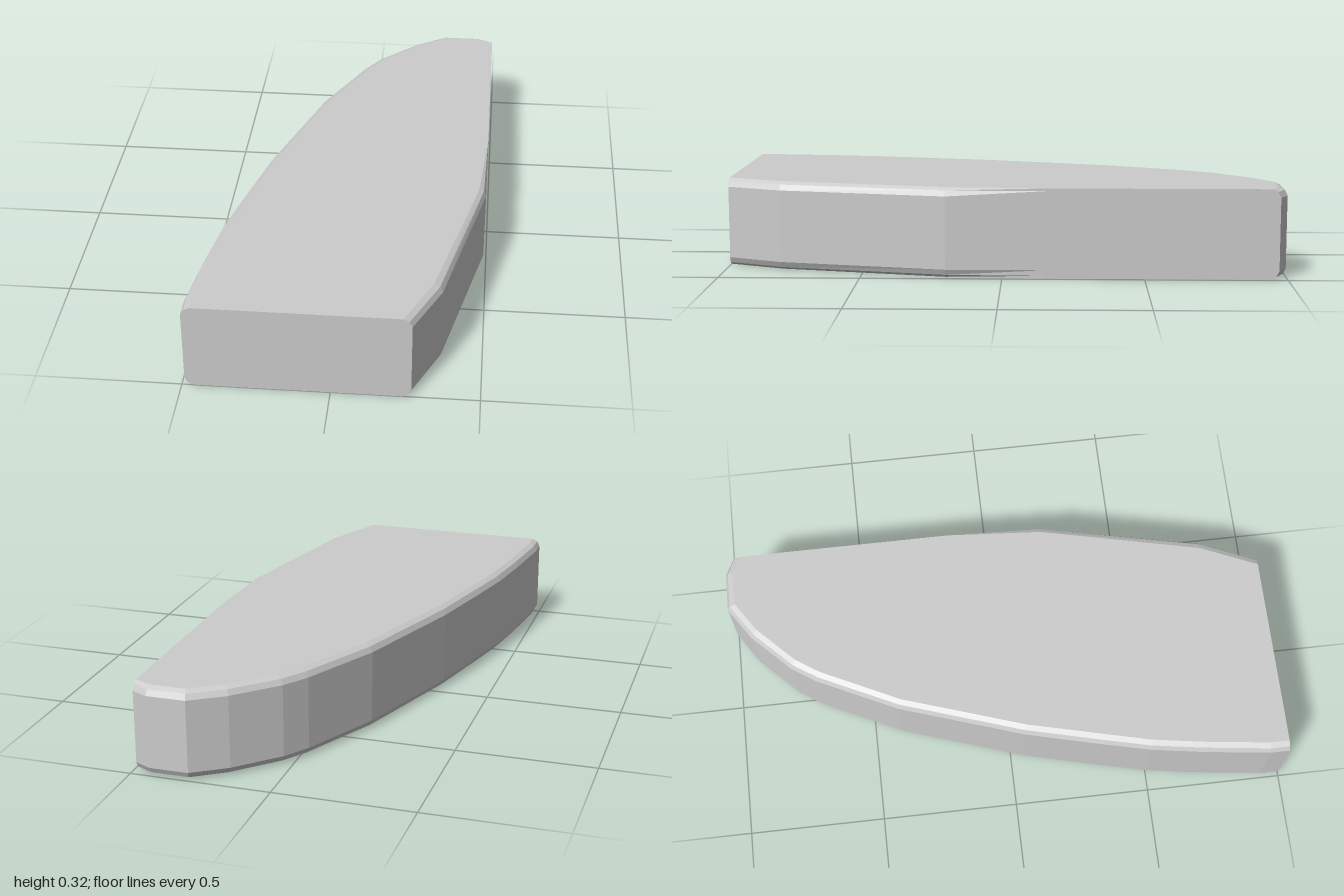
import * as THREE from 'three';

// Plan outline, clockwise from above: x, z, then inset of the edge bevel (dx, dz)
const OUTLINE = [
  [-0.49, 1, 0.03, 0], [-0.49, 0.93, 0.03, 0], [-0.46, 0.69, 0.03, 0],
  [-0.43, 0.5, 0.03, 0], [-0.39, 0.33, 0.03, 0.005], [-0.32, 0.05, 0.028, 0.008],
  [-0.17, -0.4, 0.027, 0.01], [-0.03, -0.69, 0.026, 0.015], [0.03, -0.78, 0.022, 0.02],
  [0.17, -0.92, 0.018, 0.025], [0.29, -1, 0.01, 0.03], [0.43, -1, -0.005, 0.03],
  [0.49, -0.97, 0, 0.03], [0.49, -0.15, 0, 0], [0.49, 0.2, -0.025, 0],
  [0.36, 0.8, -0.03, -0.005], [0.27, 1, -0.03, 0],
];

// Height of each ring and how much of the bevel inset it takes
const RINGS = [[0, 1], [0.01, 0.35], [0.03, 0], [0.29, 0], [0.31, 0.35], [0.32, 1]];

function beveledSlab() {
  const pos = [];
  const tri = (a, b, c) => pos.push(...a, ...b, ...c);
  const rings = RINGS.map(([y, t]) =>
    OUTLINE.map(([x, z, dx, dz]) => [x + dx * t, y, z + dz * t]));
  const n = OUTLINE.length;

  // Walls and bevels
  for (let r = 0; r < rings.length - 1; r++) {
    for (let i = 0; i < n; i++) {
      const j = (i + 1) % n;
      const [a, b, c, d] = [rings[r][i], rings[r][j], rings[r + 1][i], rings[r + 1][j]];
      tri(a, c, b);
      tri(b, c, d);
    }
  }

  // Flat bottom and top
  const bottom = rings[0], top = rings[rings.length - 1];
  for (let i = 0; i < n; i++) {
    const j = (i + 1) % n;
    tri([0.1, 0, 0.1], bottom[i], bottom[j]);
    tri([0.1, 0.32, 0.1], top[j], top[i]);
  }

  const geo = new THREE.BufferGeometry();
  geo.setAttribute('position', new THREE.Float32BufferAttribute(pos, 3));
  geo.computeVertexNormals();
  return geo;
}

export function createModel() {
  const group = new THREE.Group();
  group.name = 'wingPlate';
  const slab = new THREE.Mesh(
    beveledSlab(),
    new THREE.MeshStandardMaterial({ color: 0xcccccc, flatShading: true }),
  );
  slab.name = 'beveledSlab';
  group.add(slab);
  return group;
}
